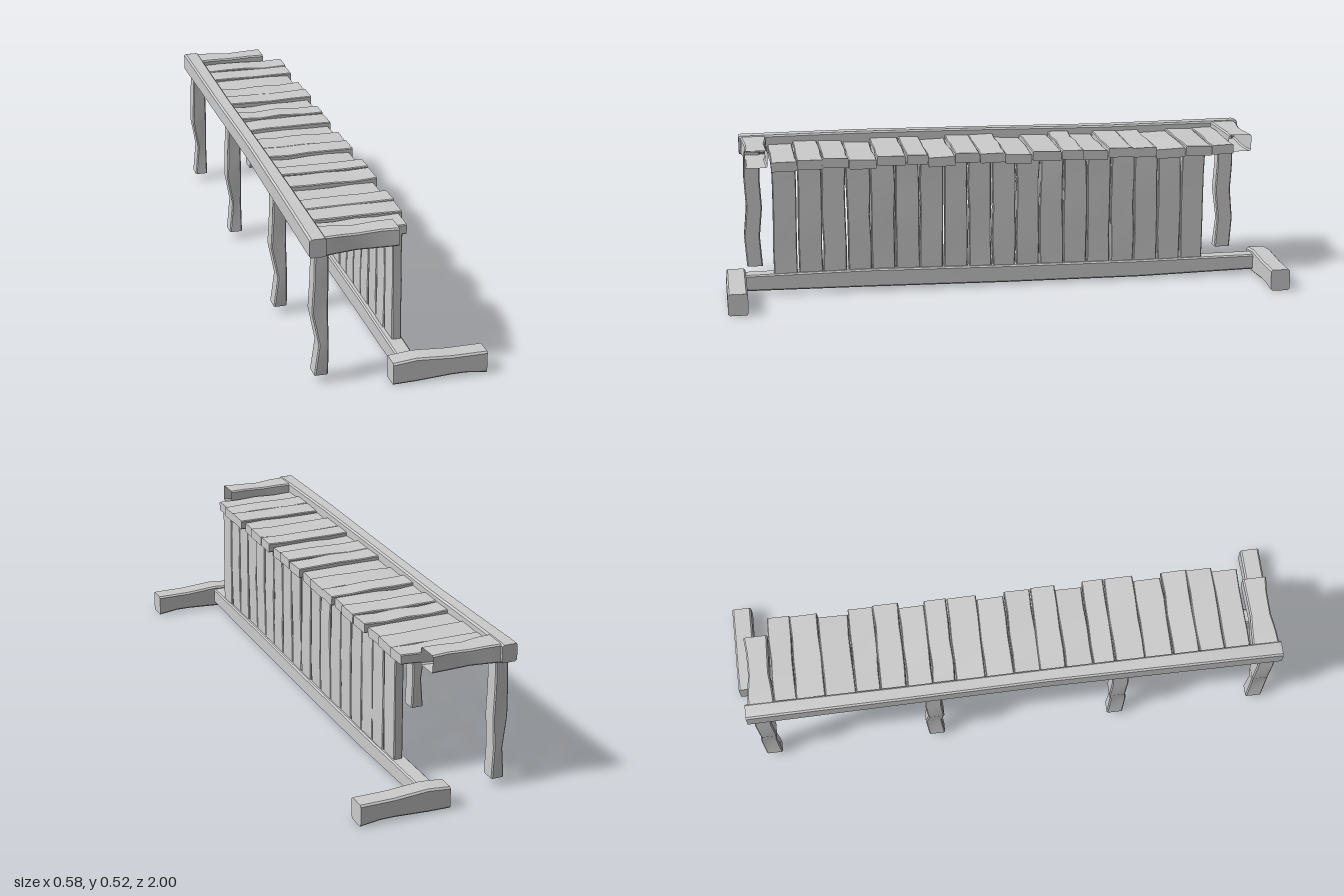
import * as THREE from 'three';
import { toCreasedNormals } from 'three/addons/utils/BufferGeometryUtils.js';

const material = new THREE.MeshStandardMaterial({ color: 0xcccccc, side: THREE.DoubleSide });

// Small seeded generator, -1..1, for the hand-hewn irregularity
let seed = 7;
const rnd = () => {
  seed = (seed * 16807) % 2147483647;
  return (seed / 2147483647) * 2 - 1;
};

// Cross-section axes (u, v) that follow each length axis in cyclic order
const AXES = { x: [0, 1, 2], y: [1, 2, 0], z: [2, 0, 1] };

// Chamfered timber lofted along an axis through stations
// [t, uMin, uMax, vMin, vMax]; caps: [start, end]
function timber(name, axis, stations, bevel = 0.004, caps = [true, true]) {
  const [a, b, c] = AXES[axis];
  const pos = [], idx = [];
  const put = (t, u, v) => {
    const p = [0, 0, 0];
    p[a] = t; p[b] = u; p[c] = v;
    pos.push(...p);
  };
  for (const [t, u0, u1, v0, v1] of stations) {
    const e = bevel;
    [[u0 + e, v0], [u1 - e, v0], [u1, v0 + e], [u1, v1 - e],
      [u1 - e, v1], [u0 + e, v1], [u0, v1 - e], [u0, v0 + e]].forEach(([u, v]) => put(t, u, v));
  }
  const last = (stations.length - 1) * 8;
  for (let s = 0; s < last; s += 8) {
    for (let i = 0; i < 8; i++) {
      const j = (i + 1) % 8;
      idx.push(s + i, s + j, s + 8 + j, s + i, s + 8 + j, s + 8 + i);
    }
  }
  for (let i = 1; i < 7; i++) {
    if (caps[0]) idx.push(0, i + 1, i);
    if (caps[1]) idx.push(last, last + i, last + i + 1);
  }
  const geo = new THREE.BufferGeometry();
  geo.setAttribute('position', new THREE.Float32BufferAttribute(pos, 3));
  geo.setIndex(idx);
  const mesh = new THREE.Mesh(toCreasedNormals(geo, 0.6), material);
  mesh.name = name;
  return mesh;
}

export function createModel() {
  seed = 7;
  const group = new THREE.Group();
  group.name = 'plankShelter';

  // Ground sill running the full length, sagging slightly at the middle
  group.add(timber('groundSill', 'z', [
    [-0.94, 0.0, 0.056, 0.015, 0.07], [-0.5, 0.0, 0.058, 0.006, 0.068],
    [0, 0.0, 0.06, 0.008, 0.072], [0.5, 0.0, 0.06, 0.014, 0.079], [0.94, 0.0, 0.056, 0.016, 0.074],
  ], 0.005));

  // Cross feet at both ends of the sill
  for (const z of [-0.965, 0.965]) {
    const [z0, z1] = [z - 0.035, z + 0.035];
    group.add(timber('crossFoot', 'x', [
      [-0.03, 0.0, 0.077, z0, z1], [0.05, 0.002, 0.085, z0, z1],
      [0.17, 0.009, 0.077, z0, z1], [0.22, 0.009, 0.077, z0, z1], [0.29, 0.0, 0.077, z0, z1],
    ], 0.006));
  }

  // Upright wall boards
  const wall = new THREE.Group();
  wall.name = 'wallBoards';
  const pitch = 1.57 / 18;
  for (let i = 0; i < 18; i++) {
    const z = -0.74 + pitch * (i + 0.5);
    const stations = [0.065, 0.17, 0.28, 0.38, 0.462].map((y) => {
      const half = pitch / 2 - 0.002;
      const x = rnd() * 0.002;
      return [y, z - half + rnd() * 0.003, z + half + rnd() * 0.003, 0.017 + x, 0.049 + x];
    });
    wall.add(timber('wallBoard', 'y', stations, 0.003));
  }
  group.add(wall);

  // Back legs, bowed, open at the foot
  for (const z of [-0.89, -0.29, 0.37, 0.89]) {
    const dir = z > 0 ? 1 : -1;
    const stations = [
      [0.028, -0.27, 0], [0.14, -0.257, 0.008], [0.25, -0.277, -0.003], [0.36, -0.272, 0.003], [0.46, -0.269, 0],
    ].map(([y, x0, dz]) => [y, z - 0.029 + dz * dir, z + 0.029 + dz * dir, x0, -0.224]);
    group.add(timber('backLeg', 'y', stations, 0.004, [false, true]));
  }

  // Back rail on top of the legs
  group.add(timber('backRail', 'z', [
    [-0.938, -0.29, -0.235, 0.452, 0.515], [-0.928, -0.29, -0.235, 0.45, 0.518],
    [-0.4, -0.286, -0.236, 0.453, 0.514], [0.1, -0.283, -0.236, 0.455, 0.52],
    [0.5, -0.287, -0.236, 0.453, 0.522], [0.925, -0.29, -0.235, 0.45, 0.518], [0.935, -0.29, -0.235, 0.452, 0.515],
  ], 0.006));

  // End rails, open at the wall side
  for (const s of [-1, 1]) {
    const stations = [
      [-0.24, 0.449, 0.515, 0.835, 0.928], [-0.19, 0.452, 0.515, 0.838, 0.925],
      [-0.13, 0.453, 0.511, 0.845, 0.918], [-0.05, 0.451, 0.515, 0.842, 0.918], [0.008, 0.453, 0.515, 0.84, 0.924],
    ].map(([x, y0, y1, z0, z1]) => [x, y0, y1, s > 0 ? z0 : -z1, s > 0 ? z1 : -z0]);
    group.add(timber('endRail', 'x', stations, 0.005, [true, false]));
  }

  // Roof boards with staggered ends; shorter ones lie lower
  const roof = new THREE.Group();
  roof.name = 'roofBoards';
  const edges = [-0.84, -0.76, -0.66, -0.555, -0.465, -0.375, -0.285, -0.205, -0.1, 0,
    0.09, 0.18, 0.275, 0.355, 0.46, 0.56, 0.65, 0.74, 0.83];
  for (let i = 0; i < 18; i++) {
    const short = i % 3 === 2;
    const end = short ? 0.062 : 0.077 + rnd() * 0.003;
    const base = short ? 0.45 : 0.459 + rnd() * 0.003;
    const stations = [0, 0.25, 0.5, 0.75, 1].map((t) => {
      const y = base + rnd() * 0.003;
      return [-0.24 + t * (end + 0.24), y, y + 0.034,
        edges[i] + 0.001 + rnd() * 0.003, edges[i + 1] - 0.001 + rnd() * 0.003];
    });
    const board = timber('roofBoard', 'x', stations, 0.003);
    // Slight roll about the length
    const mid = new THREE.Vector3(0, base + 0.017, (edges[i] + edges[i + 1]) / 2);
    board.geometry.translate(0, -mid.y, -mid.z);
    board.geometry.rotateX(rnd() * 0.05);
    board.position.copy(mid);
    roof.add(board);
  }
  group.add(roof);

  return group;
}
